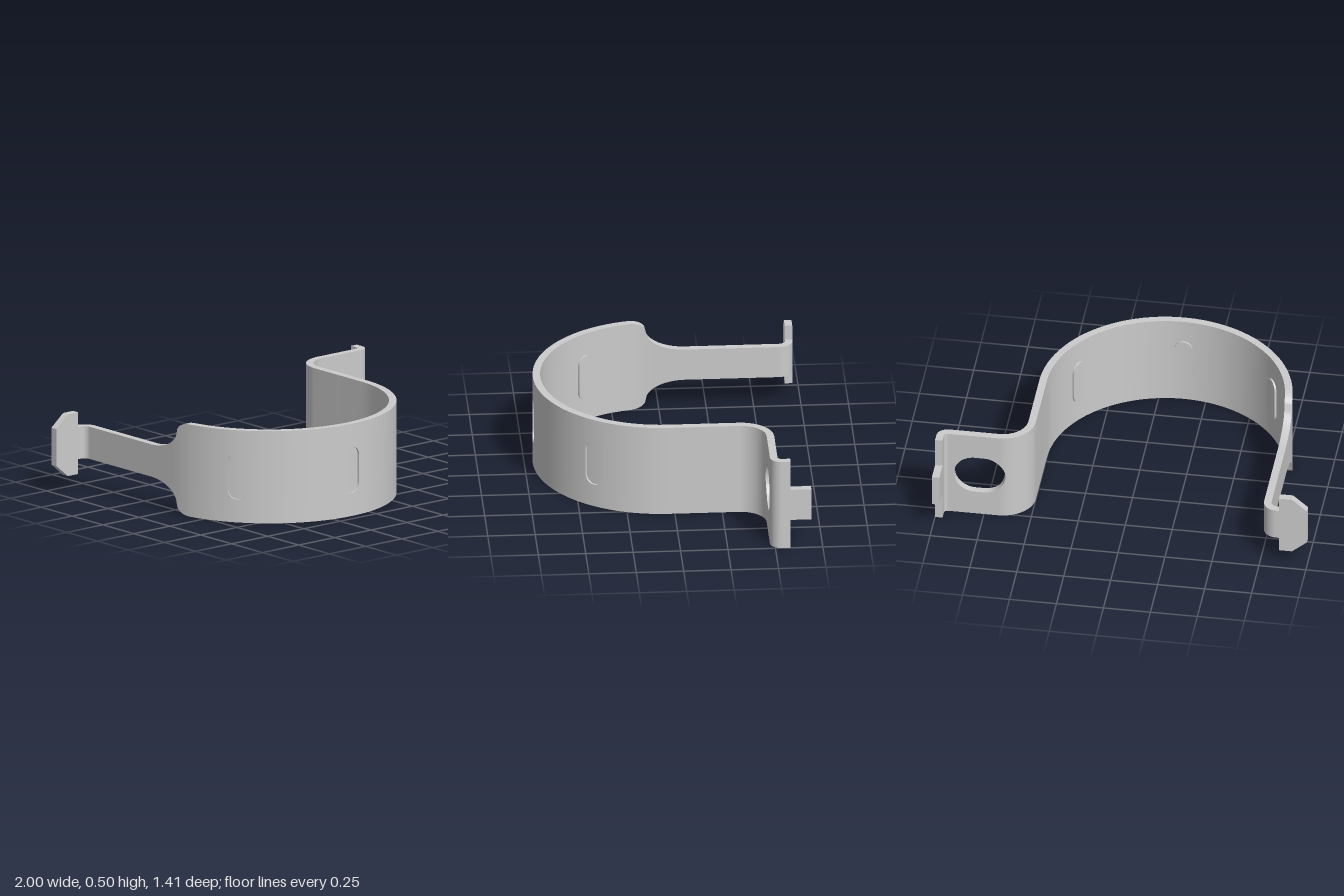
import * as THREE from 'three';
import { toCreasedNormals } from 'three/addons/utils/BufferGeometryUtils.js';

const T = 0.02;      // half the sheet thickness
const MID = 0.25;    // mid height of the strap
const EPS = 1e-4;

// Centre line of the bent strip, seen from above: [length, turn angle]
const Q = Math.PI / 2;
const SEGMENTS = [
  [0.165, 0], [0.055 * Q, Q],        // hook, tight bend
  [0.67, 0], [0.65 * Math.PI, -Math.PI], // arm, half-round band
  [0.375, 0], [0.155 * Q, Q],        // side wall, wide bend
  [0.265, 0], [0.04 * Q, -Q],        // flange, tight bend
  [0.155, 0],                        // end tab
];
const TOTAL = SEGMENTS.reduce((sum, g) => sum + g[0], 0);
const BAND_MID = 1.9424, HOLE_MID = 3.682;

// Position and outward normal at distance s along the strip
function pathAt(s) {
  let x = -1, z = -0.69, a = 0;
  for (const [len, turn] of SEGMENTS) {
    const l = Math.min(s, len);
    const b = a + turn * l / len;
    if (turn) {
      const r = len / turn;
      x += r * (Math.sin(b) - Math.sin(a));
      z += r * (Math.cos(a) - Math.cos(b));
    } else {
      x += l * Math.cos(a);
      z += l * Math.sin(a);
    }
    a = b;
    s -= l;
    if (s <= 0) break;
  }
  return { x, z, nx: -Math.sin(a), nz: Math.cos(a) };
}

// Rounded slots: three pressed pads on the band and one hole through the flange
const pad = (at) => ({ at, flat: 0, r: 0.05, rise: 0.075, out: 0.01, inn: 0.01 });
const FEATURES = [
  ...[-1, 0, 1].map((k) => pad(BAND_MID + k * 0.65 * THREE.MathUtils.degToRad(55))),
  { at: HOLE_MID, flat: 0.025, r: 0.11, rise: 0, out: T, inn: -T, hole: true },
];

function featureAt(s) {
  const f = FEATURES.reduce((p, q) => (Math.abs(q.at - s) < Math.abs(p.at - s) ? q : p));
  const u = Math.abs(s - f.at);
  const bow = Math.max(0, u - f.flat);
  const h = f.rise + Math.sqrt(Math.max(0, f.r * f.r - bow * bow));
  const inside = u < f.flat + f.r + EPS / 2;
  return { h, out: inside ? f.out : 0, inn: inside ? f.inn : 0, hole: inside && !!f.hole };
}

// Distances at which a cross-section is needed
function stations(from, to) {
  const list = [from, to];
  let s = 0;
  for (const [len, turn] of SEGMENTS) {
    const n = turn ? Math.ceil(Math.abs(turn) / 0.06) : 1;
    for (let i = 0; i <= n; i++) list.push(s + len * i / n);
    s += len;
  }
  for (const f of FEATURES) {
    for (const side of [-1, 1]) {
      list.push(f.at + side * (f.flat + f.r + EPS));
      for (let i = 0; i <= 12; i++) list.push(f.at + side * (f.flat + f.r * Math.cos(i * Q / 12)));
    }
  }
  for (let i = 0; i <= 28; i++) list.push(0.746 + 0.3 * i / 28); // shoulder curve
  list.push(0.08);                                              // hook chamfer
  return list.filter((v) => v >= from && v <= to).sort((a, b) => a - b)
    .filter((v, i, all) => i === 0 || v - all[i - 1] > 1e-7);
}

// Sweep the sheet cross-section along part of the centre line
function stripGeometry(from, to, half) {
  const pos = [];
  const tri = (...v) => v.forEach((p) => pos.push(...p));
  const quad = (a, b, c, d) => { tri(a, b, c); tri(a, c, d); };
  const rings = stations(from, to).map((s) => {
    const p = pathAt(s), f = featureAt(s), w = half(s);
    const h = Math.min(f.h, w);
    const points = [
      [-w, T], [-h, T], [-h, T - f.out], [h, T - f.out], [h, T], [w, T],
      [w, -T], [h, -T], [h, -T - f.inn], [-h, -T - f.inn], [-h, -T], [-w, -T],
    ].map(([y, o]) => [p.x + p.nx * o, MID + y, p.z + p.nz * o]);
    return { points, hole: f.hole };
  });
  for (let i = 0; i + 1 < rings.length; i++) {
    const A = rings[i], B = rings[i + 1];
    for (let j = 0; j < 12; j++) {
      if (A.hole && B.hole && (j === 2 || j === 8)) continue; // leave the hole open
      const k = (j + 1) % 12;
      quad(A.points[j], B.points[j], B.points[k], A.points[k]);
    }
  }
  const a = rings[0].points, b = rings[rings.length - 1].points;
  quad(a[0], a[5], a[6], a[11]);
  quad(b[11], b[6], b[5], b[0]);

  // drop empty triangles
  const kept = [], t = new THREE.Triangle();
  for (let i = 0; i < pos.length; i += 9) {
    t.a.fromArray(pos, i); t.b.fromArray(pos, i + 3); t.c.fromArray(pos, i + 6);
    if (t.getArea() > 1e-10) kept.push(...pos.slice(i, i + 9));
  }
  const geo = new THREE.BufferGeometry();
  geo.setAttribute('position', new THREE.Float32BufferAttribute(kept, 3));
  geo.scale(100, 100, 100); // finer matching of corners while creasing
  const creased = toCreasedNormals(geo, 0.5);
  creased.scale(0.01, 0.01, 0.01);
  return creased;
}

// Half height of the arm: slim neck, concave fillet, rounded shoulder, full band
const NECK = 0.0875, FULL = 0.25;
function armHalf(s) {
  const u = THREE.MathUtils.clamp((s - 0.746) / 0.3, 0, 1);
  const split = 0.7, mid = NECK + (FULL - NECK) * 0.68;
  if (u < split) return mid - (mid - NECK) * Math.sqrt(1 - (u / split) ** 2);
  const v = (1 - u) / (1 - split);
  return mid + (FULL - mid) * Math.sqrt(Math.max(0, 1 - v * v));
}

export function createModel() {
  const group = new THREE.Group();
  group.name = 'strapClamp';
  const material = new THREE.MeshStandardMaterial({ color: 0xcccccc });
  const parts = [
    ['latchHook', 0, 0.15, (s) => 0.1 + 0.0675 * Math.min(1, s / 0.08)],
    ['neckArm', 0.15, 0.6, () => NECK],
    ['band', 0.6, 3.15, armHalf],
    ['flange', 3.15, 3.955, () => FULL],
    ['endTab', 3.955, TOTAL, () => NECK],
  ];
  for (const [name, from, to, half] of parts) {
    const mesh = new THREE.Mesh(stripGeometry(from, to, half), material);
    mesh.name = name;
    group.add(mesh);
  }
  return group;
}
